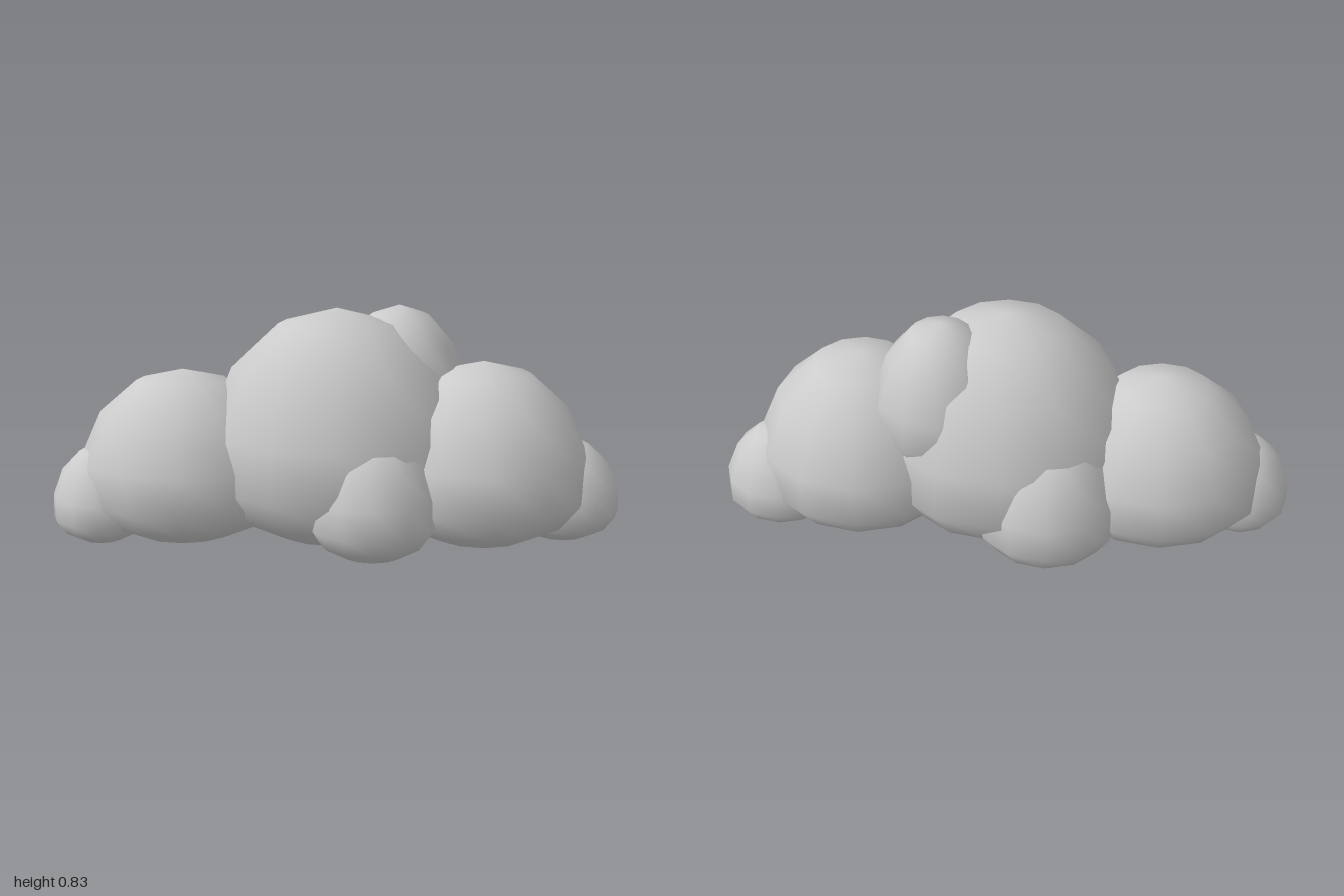
import * as THREE from 'three';
import { mergeVertices } from 'three/addons/utils/BufferGeometryUtils.js';

// Low-poly puff: upper half stretched by ry, lower half squashed to half of that
function puffGeometry(rx, ry, rz) {
  let geo = new THREE.SphereGeometry(1, 12, 7);
  geo.deleteAttribute('uv');
  geo.deleteAttribute('normal');
  geo = mergeVertices(geo, 1e-4);
  const p = geo.attributes.position;
  for (let i = 0; i < p.count; i++) {
    const y = p.getY(i);
    p.setXYZ(i, p.getX(i) * rx, y * ry * (y < 0 ? 0.5 : 1), p.getZ(i) * rz);
  }
  geo.computeVertexNormals();
  return geo;
}

export function createModel() {
  const group = new THREE.Group();
  group.name = 'cloud';
  const material = new THREE.MeshStandardMaterial({ color: 0xcccccc });

  // name, centre, radii (the grounded puffs rest on y = 0)
  const puffs = [
    ['mainPuff', [0, 0.278, 0], [0.47, 0.555, 0.415]],
    ['leftPuff', [0.51, 0.217, 0.025], [0.38, 0.433, 0.37]],
    ['rightPuff', [-0.54, 0.205, -0.03], [0.375, 0.408, 0.34]],
    ['leftEndPuff', [0.8, 0.123, -0.025], [0.205, 0.245, 0.195]],
    ['rightEndPuff', [-0.83, 0.116, 0], [0.175, 0.232, 0.19]],
    ['frontPuff', [0.12, 0.154, 0.245], [0.23, 0.308, 0.22]],
    ['backPuff', [-0.15, 0.168, -0.22], [0.255, 0.336, 0.245]],
    ['topPuff', [0.22, 0.475, -0.075], [0.24, 0.357, 0.24]],
  ];
  for (const [name, centre, radii] of puffs) {
    const mesh = new THREE.Mesh(puffGeometry(...radii), material);
    mesh.name = name;
    mesh.position.set(...centre);
    group.add(mesh);
  }
  return group;
}
